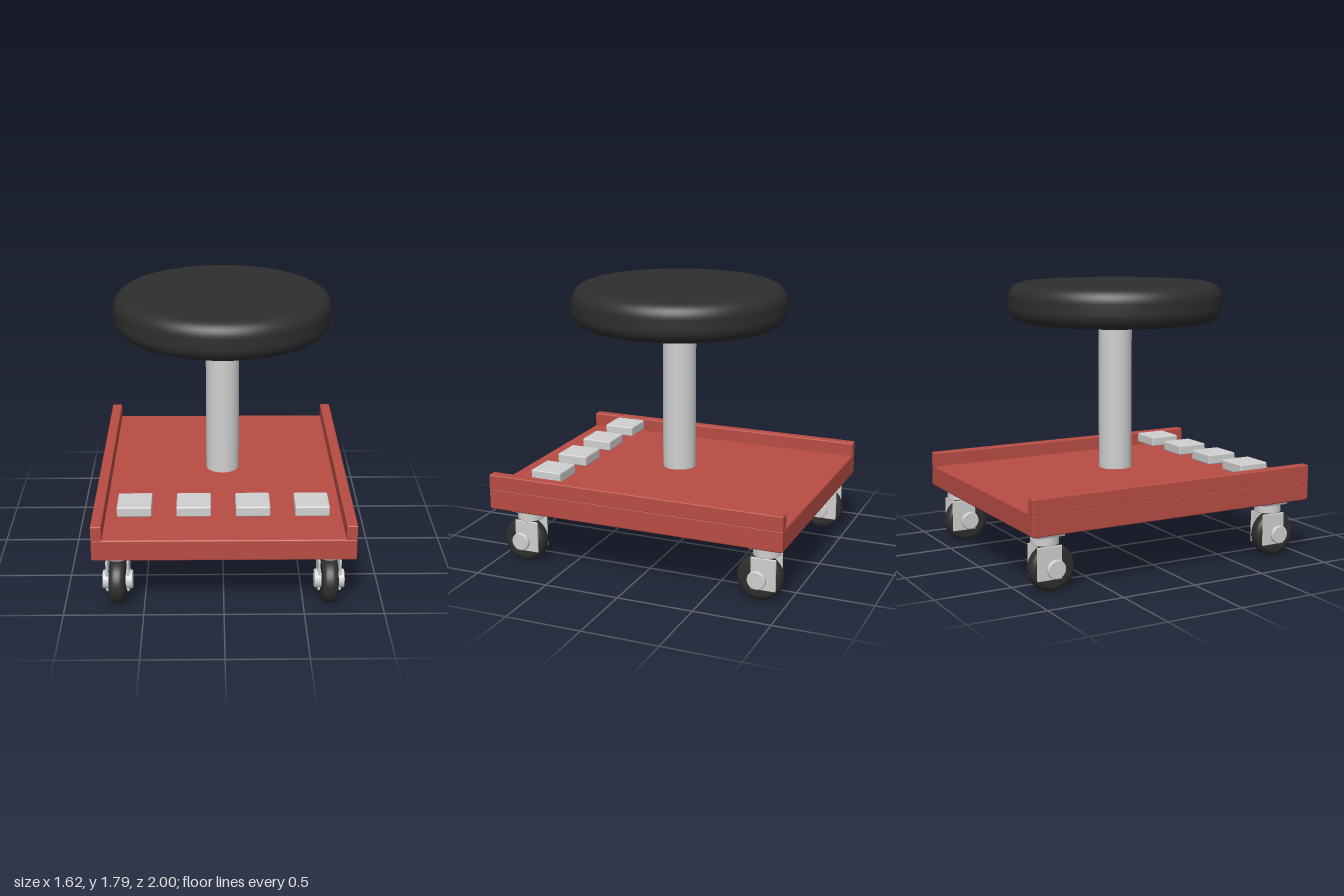
import * as THREE from 'three';
import { RoundedBoxGeometry } from 'three/addons/geometries/RoundedBoxGeometry.js';

export function createModel() {
  const material = (name, color) => {
    const m = new THREE.MeshStandardMaterial({ color });
    m.name = name;
    return m;
  };
  const red = material('red paint', 0xb84d44);
  const black = material('black rubber', 0x2e2e2e);
  const metal = material('light metal', 0xd0d0d0);

  const model = new THREE.Group();
  model.name = 'rollingStool';

  const add = (parent, name, geometry, mat, x, y, z) => {
    const mesh = new THREE.Mesh(geometry, mat);
    mesh.name = name;
    mesh.position.set(x, y, z);
    parent.add(mesh);
    return mesh;
  };
  const block = (w, h, d, r) => new RoundedBoxGeometry(w, h, d, 2, r);

  // Solid disc about y with rounded rims
  const roundedDisc = (radius, height, r, segments) => {
    const h = height / 2;
    const pts = [new THREE.Vector2(0, -h)];
    for (let i = 0; i <= 8; i++) {
      const a = -Math.PI / 2 + (i / 8) * (Math.PI / 2);
      pts.push(new THREE.Vector2(radius - r + r * Math.cos(a), -h + r + r * Math.sin(a)));
    }
    for (let i = 0; i <= 8; i++) {
      const a = (i / 8) * (Math.PI / 2);
      pts.push(new THREE.Vector2(radius - r + r * Math.cos(a), h - r + r * Math.sin(a)));
    }
    pts.push(new THREE.Vector2(0, h));
    return new THREE.LatheGeometry(pts, segments);
  };

  // Tray with side rails
  add(model, 'deck', block(1.625, 0.14, 2, 0.01), red, 0, 0.45, 0);
  for (const s of [-1, 1]) {
    add(model, s > 0 ? 'leftRail' : 'rightRail', block(0.068, 0.1, 2, 0.008), red, s * 0.778, 0.563, 0);
  }

  // Row of small pads along the front edge
  for (const x of [-0.557, -0.187, 0.183, 0.553]) {
    add(model, 'pad', block(0.216, 0.068, 0.212, 0.01), metal, x, 0.596, 0.666);
  }

  // Post and cushion
  add(model, 'post', new THREE.CylinderGeometry(0.11, 0.11, 1, 48), metal, 0, 1.06, 0);
  add(model, 'seat', roundedDisc(0.703, 0.255, 0.095, 72), black, 0, 1.667, 0);

  // Four casters, all trailing the same way
  const tyre = roundedDisc(0.148, 0.104, 0.042, 40);
  const axleCap = roundedDisc(0.06, 0.19, 0.008, 28);
  const forkPlate = block(0.015, 0.208, 0.163, 0.004);
  const swivel = roundedDisc(0.087, 0.062, 0.006, 32);
  const mount = new THREE.CylinderGeometry(0.1 * Math.SQRT2, 0.088 * Math.SQRT2, 0.026, 4).toNonIndexed();
  mount.rotateY(Math.PI / 4);
  mount.computeVertexNormals();

  for (const x of [-0.667, 0.664]) {
    for (const z of [0.78, -0.855]) {
      const caster = new THREE.Group();
      caster.name = (z > 0 ? 'front' : 'back') + (x > 0 ? 'Left' : 'Right') + 'Caster';
      caster.position.set(x, 0, z);
      model.add(caster);
      add(caster, 'mountPlate', mount, metal, 0, 0.367, 0);
      add(caster, 'swivel', swivel, metal, 0, 0.331, 0);
      for (const s of [-1, 1]) add(caster, 'forkPlate', forkPlate, metal, s * 0.066, 0.191, 0);
      add(caster, 'wheel', tyre, black, 0, 0.148, 0.038).rotation.z = Math.PI / 2;
      add(caster, 'axle', axleCap, metal, 0, 0.152, 0.038).rotation.z = Math.PI / 2;
    }
  }
  return model;
}
